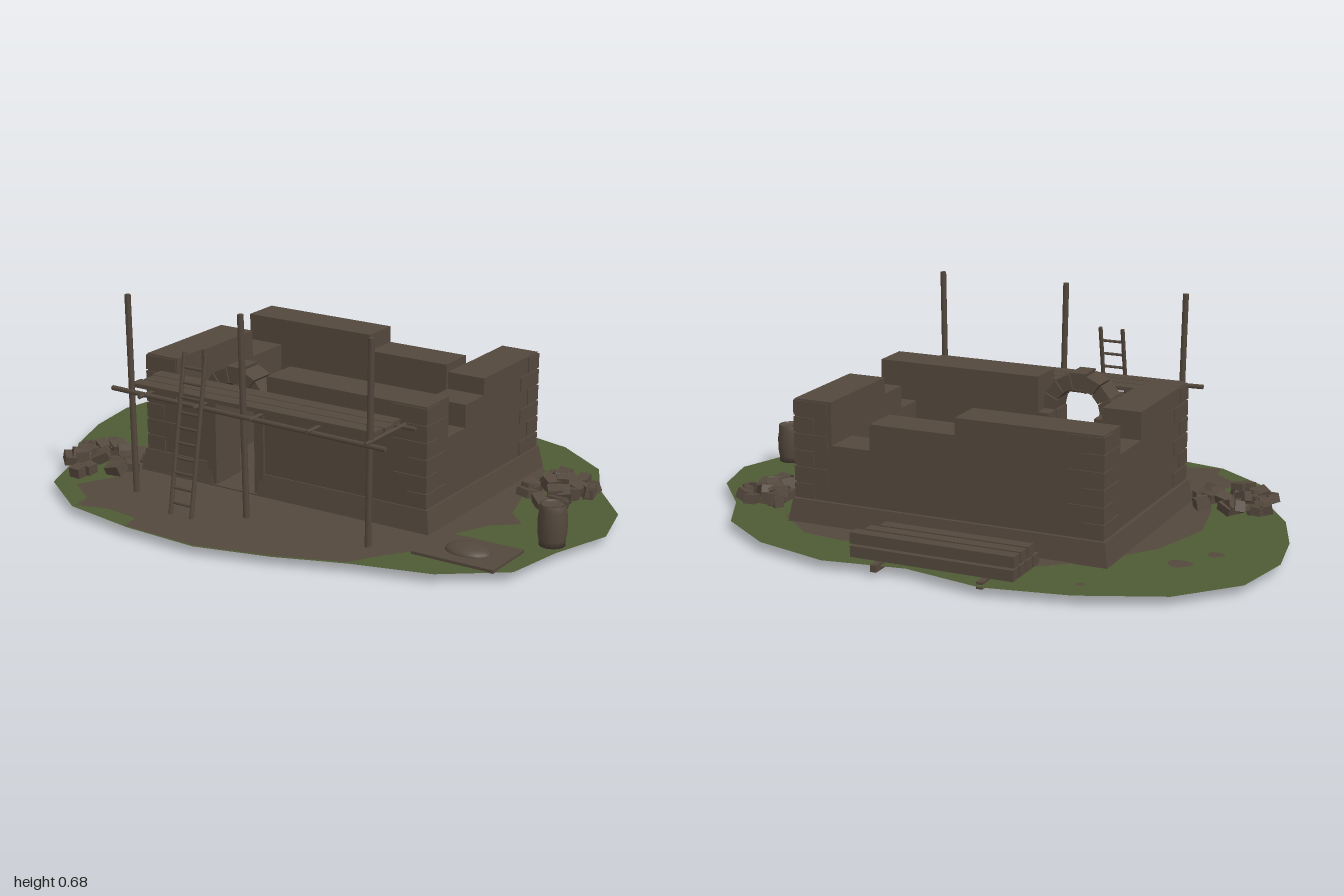
import * as THREE from 'three';

const mat = (name, color, side = THREE.FrontSide) => {
  const m = new THREE.MeshStandardMaterial({ color, side });
  m.name = name;
  return m;
};

export function createModel() {
  const model = new THREE.Group();
  const brown = mat('earthBrown', 0x54483d);
  const dirt = mat('dirtBrown', 0x54483d, THREE.DoubleSide);
  const grass = mat('grassGreen', 0x4f5b34, THREE.DoubleSide);
  brown.flatShading = false;
  let seed = 7;
  const rand = (a, b) => {
    seed = (seed * 16807) % 2147483647;
    return a + (b - a) * (seed / 2147483647);
  };
  const group = (name, parent = model) => {
    const g = new THREE.Group();
    g.name = name;
    parent.add(g);
    return g;
  };
  const add = (parent, name, geo, m = brown) => {
    const mesh = new THREE.Mesh(geo, m);
    mesh.name = name;
    parent.add(mesh);
    return mesh;
  };
  // box given by its limits on each axis
  const block = (parent, name, x0, x1, y0, y1, z0, z1) => {
    const b = add(parent, name, new THREE.BoxGeometry(x1 - x0, y1 - y0, z1 - z0));
    b.position.set((x0 + x1) / 2, (y0 + y1) / 2, (z0 + z1) / 2);
    return b;
  };
  // straight pole between two points
  const pole = (parent, name, a, b, r, sides = 6) => {
    const p = new THREE.Vector3(...a), q = new THREE.Vector3(...b);
    const m = add(parent, name, new THREE.CylinderGeometry(r, r, p.distanceTo(q), sides));
    m.position.copy(p).lerp(q, 0.5);
    m.quaternion.setFromUnitVectors(new THREE.Vector3(0, 1, 0), q.sub(p).normalize());
    return m;
  };
  const G = 0.03; // ground level

  // ground sheet with worn dirt
  const patch = (name, pts, y, m, smooth = false) => {
    const v = pts.map(([x, z]) => new THREE.Vector2(x, -z));
    const s = smooth ? new THREE.Shape(new THREE.SplineCurve([...v, v[0]]).getPoints(70)) : new THREE.Shape(v);
    add(model, name, new THREE.ShapeGeometry(s).rotateX(-Math.PI / 2), m).position.y = y;
  };
  patch('grassGround', [[-1, -0.2], [-0.96, -0.42], [-0.8, -0.6], [-0.54, -0.71], [-0.27, -0.76], [0, -0.705],
    [0.265, -0.745], [0.52, -0.675], [0.715, -0.535], [0.805, -0.36], [0.95, -0.19], [1, 0], [0.935, 0.2], [0.9, 0.4],
    [0.715, 0.54], [0.47, 0.605], [0.245, 0.685], [0, 0.745], [-0.255, 0.73], [-0.515, 0.68], [-0.71, 0.54],
    [-0.785, 0.35], [-0.89, 0.2], [-0.965, 0]], G, grass);
  const worn = [[-0.28, 0.66], [-0.27, 0.725], [0, 0.742], [0.245, 0.682], [0.46, 0.602], [0.52, 0.5], [0.58, 0.42],
    [0.6, 0.25], [0.66, 0.12], [0.74, 0.05], [0.67, -0.02], [0.62, -0.2], [0.58, -0.42], [0.44, -0.54], [0.3, -0.56],
    [0.15, -0.51], [-0.32, -0.55], [-0.48, -0.42], [-0.62, -0.22], [-0.68, 0], [-0.64, 0.2], [-0.57, 0.4],
    [-0.63, 0.52], [-0.52, 0.6], [-0.51, 0.67], [-0.4, 0.64]];
  for (const y of [G + 0.002, G - 0.002]) {
    patch('wornDirt', worn, y, dirt);
    for (const [x, z, r] of [[-0.73, -0.32, 0.04], [-0.8, -0.2, 0.028], [-0.53, -0.615, 0.014]])
      patch('dirtSpot', [[x - r, z], [x, z - r], [x + r, z - r * 0.4], [x + r * 0.8, z + r * 0.6], [x - r * 0.3, z + r * 0.6]], y, dirt, true);
  }

  // half-built walls: each span has its own height
  const X0 = -0.52, X1 = 0.53, Z0 = -0.43, Z1 = 0.275, T = 0.13, H = 0.43;
  const walls = group('walls');
  const spans = (name, along, lo, hi, list) => list.forEach(([a, b, h]) => along === 'x'
    ? block(walls, name, a, b, G, h, lo, hi) : block(walls, name, lo, hi, G, h, a, b));
  spans('backWall', 'x', Z0, Z0 + T, [[X0, -0.03, H], [-0.03, 0.265, 0.375], [0.265, 0.4, 0.29], [0.4, X1, H]]);
  spans('frontWall', 'x', Z1 - T, Z1, [[X0, -0.4, H], [-0.4, -0.25, 0.31], [-0.09, -0.05, 0.31], [-0.05, X1, H]]);
  spans('leftHandWall', 'z', X0, X0 + T, [[Z0 + T, -0.13, 0.34], [-0.13, Z1 - T, H]]);
  spans('rightHandWall', 'z', X1 - T, X1, [[Z0 + T, -0.075, H], [-0.075, 0.04, 0.375], [0.04, Z1 - T, 0.3]]);
  block(walls, 'floor', X0, X1, G, G + 0.006, Z0, Z1);

  // sloped plinth strips, left open at the doorway
  const plinth = group('plinth');
  const strip = (x0, x1, z0, z1) => {
    const m = block(plinth, 'plinthStrip', x0, x1, G, 0.105, z0, z1);
    const p = m.geometry.attributes.position;
    for (let i = 0; i < p.count; i++) if (p.getY(i) > 0) {
      const wx = p.getX(i) + m.position.x, wz = p.getZ(i) + m.position.z;
      p.setX(i, THREE.MathUtils.clamp(wx, X0 - 0.012, X1 + 0.008) - m.position.x);
      p.setZ(i, THREE.MathUtils.clamp(wz, Z0 - 0.012, Z1 + 0.005) - m.position.z);
    }
    m.geometry.computeVertexNormals();
  };
  strip(-0.545, 0.55, -0.455, Z0 + 0.05);
  strip(-0.545, X0 + 0.05, -0.455, 0.29);
  strip(X1 - 0.05, 0.55, -0.455, 0.29);
  strip(-0.545, -0.26, Z1 - 0.05, 0.29);
  strip(-0.08, 0.55, Z1 - 0.05, 0.29);

  // alternating corner stones
  const quoins = group('cornerStones');
  for (const sx of [-1, 1]) for (const sz of [-1, 1]) for (let i = 0; i < 6; i++) {
    const w = i % 2 ? 0.12 : 0.07, d = i % 2 ? 0.07 : 0.12, y = 0.107 + i * 0.054;
    const cx = sx < 0 ? X0 - 0.004 : X1 + 0.004, cz = sz < 0 ? Z0 - 0.004 : Z1 + 0.004;
    block(quoins, 'cornerStone', Math.min(cx, cx - sx * w), Math.max(cx, cx - sx * w), y, y + 0.048,
      Math.min(cz, cz - sz * d), Math.max(cz, cz - sz * d));
  }

  // doorway with arch stones, jambs and threshold
  const door = group('doorway');
  const N = 7;
  for (let i = 0; i < N; i++) {
    const a = (i + 0.04) * Math.PI / N, b = (i + 0.96) * Math.PI / N, r = 0.08, R = i === 3 ? 0.135 : 0.128;
    const s = new THREE.Shape([[r, a], [R, a], [R, b], [r, b]].map(([k, t]) => new THREE.Vector2(k * Math.cos(t), k * Math.sin(t))));
    add(door, 'archStone', new THREE.ExtrudeGeometry(s, { depth: 0.09, bevelEnabled: false })).position.set(-0.17, 0.31, 0.195);
  }
  block(door, 'jamb', -0.28, -0.245, G, 0.31, 0.2, 0.283);
  block(door, 'jamb', -0.095, -0.06, G, 0.31, 0.2, 0.283);
  block(door, 'threshold', -0.28, -0.06, 0, 0.036, 0.22, 0.29);

  // scaffold
  const scaffold = group('scaffold');
  for (const x of [-0.44, -0.01, 0.455]) pole(scaffold, 'upright', [x + (x > 0.1 ? -0.01 : 0.012), G, 0.465], [x, 0.68, 0.467], 0.01);
  pole(scaffold, 'ledger', [-0.505, 0.368, 0.475], [0.51, 0.352, 0.475], 0.008);
  pole(scaffold, 'wallLedger', [-0.47, 0.36, 0.287], [0.5, 0.36, 0.287], 0.007);
  for (const x of [-0.38, -0.17, 0.04, 0.25, 0.455]) pole(scaffold, 'crossPole', [x, 0.364, 0.26], [x, 0.364, 0.5], 0.007);
  [[-0.45, 0.45], [-0.44, 0.46], [-0.45, 0.455]].forEach(([a, b], i) =>
    block(scaffold, 'plank', a, b, 0.374, 0.387, 0.295 + i * 0.053, 0.344 + i * 0.053));

  // ladder leaning on the scaffold
  const ladder = group('ladder');
  const at = (x, t) => [x, G + 0.505 * t, 0.57 - 0.09 * t];
  for (const x of [-0.212, -0.132]) pole(ladder, 'ladderRail', at(x, 0), at(x, 1), 0.007);
  for (let i = 0; i < 10; i++) pole(ladder, 'rung', at(-0.212, 0.08 + i * 0.092), at(-0.132, 0.08 + i * 0.092), 0.005, 5);

  // timber stack on two bearers
  const timber = group('timberStack');
  for (const x of [-0.26, 0.09]) block(timber, 'bearer', x - 0.01, x + 0.01, 0.016, 0.038, -0.74, -0.51);
  for (let i = 0; i < 4; i++) block(timber, 'beam', -0.35, 0.19 - (i % 2) * 0.015, 0.038, 0.073, -0.7 + i * 0.048, -0.66 + i * 0.048);
  for (let i = 0; i < 3; i++) block(timber, 'beam', -0.345, 0.2 - i * 0.025, 0.074, 0.109, -0.683 + i * 0.05, -0.643 + i * 0.05);

  // rubble heaps
  const heap = (name, cx, cz, rx, rz) => {
    const g = group(name);
    for (let i = 0; i < 26; i++) {
      const t = rand(0, Math.PI * 2), k = Math.sqrt(rand(0, 1));
      const s = add(g, 'rubbleStone', new THREE.BoxGeometry(rand(0.035, 0.06), rand(0.025, 0.038), rand(0.03, 0.05)));
      s.position.set(cx + rx * k * Math.cos(t), G + 0.016 + rand(0.2, 1) * 0.045 * (1 - k), cz + rz * k * Math.sin(t));
      s.rotation.set(rand(-0.35, 0.35), rand(0, 3), rand(-0.35, 0.35));
    }
  };
  heap('leftHeap', -0.69, 0.31, 0.13, 0.15);
  heap('rightHeap', 0.72, -0.25, 0.1, 0.14);

  // barrel
  const barrel = [[0, 0], [0.041, 0], [0.042, 0.02], [0.046, 0.045], [0.046, 0.085], [0.042, 0.11], [0.041, 0.13], [0.036, 0.13], [0.036, 0.122], [0, 0.122]];
  add(model, 'barrel', new THREE.LatheGeometry(barrel.map((p) => new THREE.Vector2(...p)), 14)).position.set(0.893, G, 0.145);

  // mixing board with a heap of mortar
  block(model, 'mixingBoard', 0.58, 0.855, G - 0.002, G + 0.009, 0.25, 0.44);
  const mortar = add(model, 'mortarHeap', new THREE.SphereGeometry(1, 16, 6, 0, Math.PI * 2, 0, Math.PI / 2));
  mortar.scale.set(0.075, 0.025, 0.055);
  mortar.position.set(0.72, G + 0.008, 0.345);
  return model;
}
